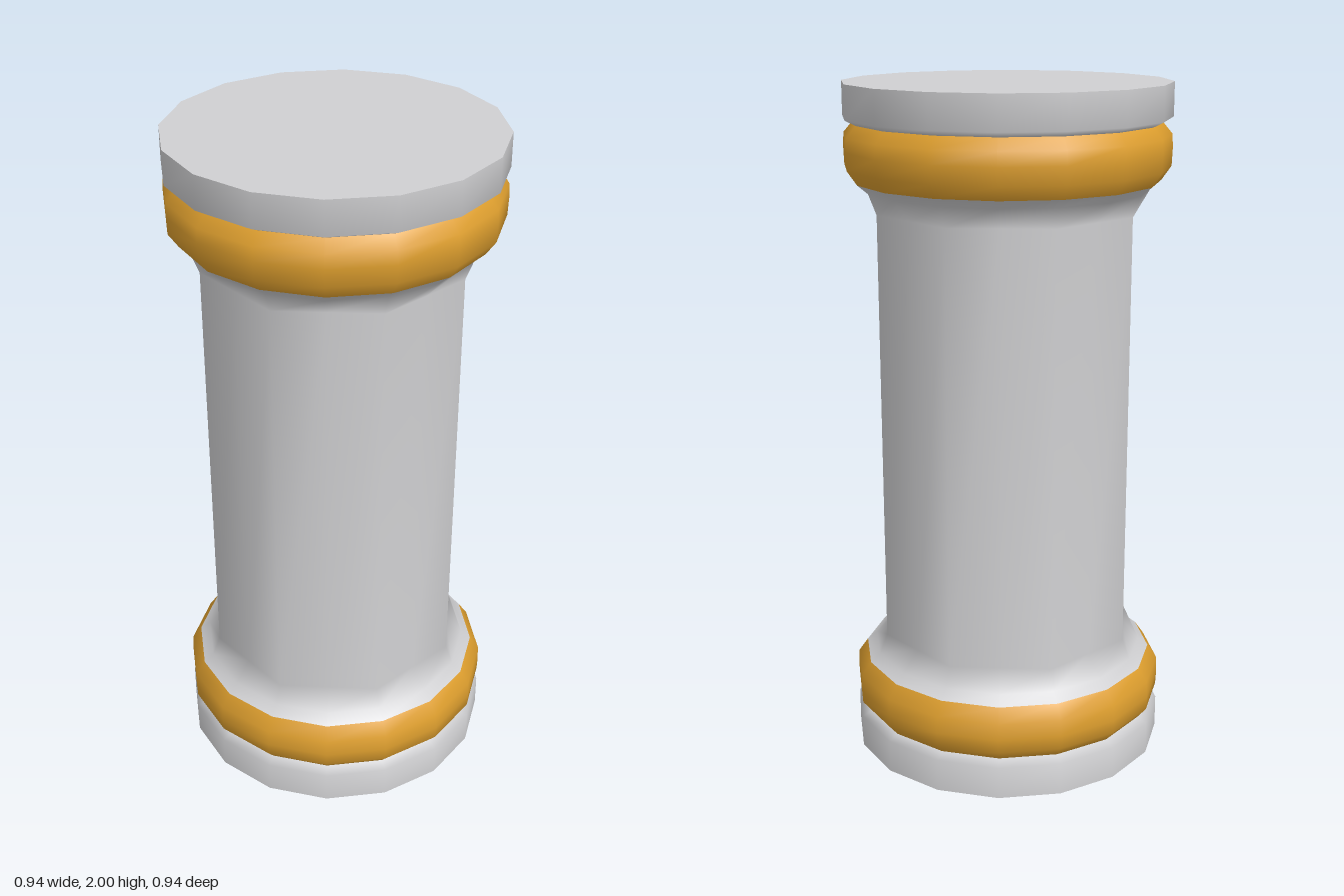
import * as THREE from 'three';

const SIDES = 16;

// Closed smooth band through rings [radius, y, octagonal?], listed bottom to top
function band(rings, material, name) {
  const pos = [], index = [];
  rings.forEach(([r, y, octagonal]) => {
    for (let i = 0; i < SIDES; i++) {
      const a = (i / SIDES) * Math.PI * 2;
      const k = octagonal && i % 2 ? r * Math.cos(Math.PI / 8) : r;
      pos.push(k * Math.sin(a), y, k * Math.cos(a));
    }
  });
  for (let j = 0; j < rings.length - 1; j++) {
    for (let i = 0; i < SIDES; i++) {
      const n = (i + 1) % SIDES;
      const a = j * SIDES + i, b = j * SIDES + n;
      index.push(a, b, b + SIDES, a, b + SIDES, a + SIDES);
    }
  }
  const g = new THREE.BufferGeometry();
  g.setAttribute('position', new THREE.Float32BufferAttribute(pos, 3));
  g.setIndex(index);
  g.computeVertexNormals();
  const mesh = new THREE.Mesh(g, material);
  mesh.name = name;
  return mesh;
}

// Same profile mirrored to the upper end
const flip = (rings) => rings.map(([r, y, o]) => [r, 2 - y, o]).reverse();

export function createModel() {
  const grey = new THREE.MeshStandardMaterial({ color: 0xd0d0d2 });
  grey.name = 'pale grey';
  const gold = new THREE.MeshStandardMaterial({ color: 0xdd9e2e });
  gold.name = 'gold';

  const model = new THREE.Group();
  model.name = 'column';

  // Eight-sided shaft flaring into the round rings
  const flare = [[0.44, 0.275], [0.41, 0.3], [0.387, 0.36, true]];
  model.add(band([...flare, ...flip(flare)], grey, 'shaft'));

  const ring = [[0.44, 0.112], [0.468, 0.145], [0.47, 0.185], [0.468, 0.235], [0.44, 0.275]];
  const plinth = [[0.47, 0], [0.47, 0.097], [0.44, 0.112]];
  const ends = [['lower', (p) => p, 0], ['upper', flip, 2]];
  for (const [label, place, y] of ends) {
    model.add(band(place(ring), gold, label + 'Ring'));
    model.add(band(place(plinth), grey, label + 'Plinth'));
    // Flat end face
    const disc = new THREE.Mesh(new THREE.CircleGeometry(0.47, SIDES), grey);
    disc.rotation.x = y ? -Math.PI / 2 : Math.PI / 2;
    disc.position.y = y;
    disc.name = label + 'EndFace';
    model.add(disc);
  }
  return model;
}
